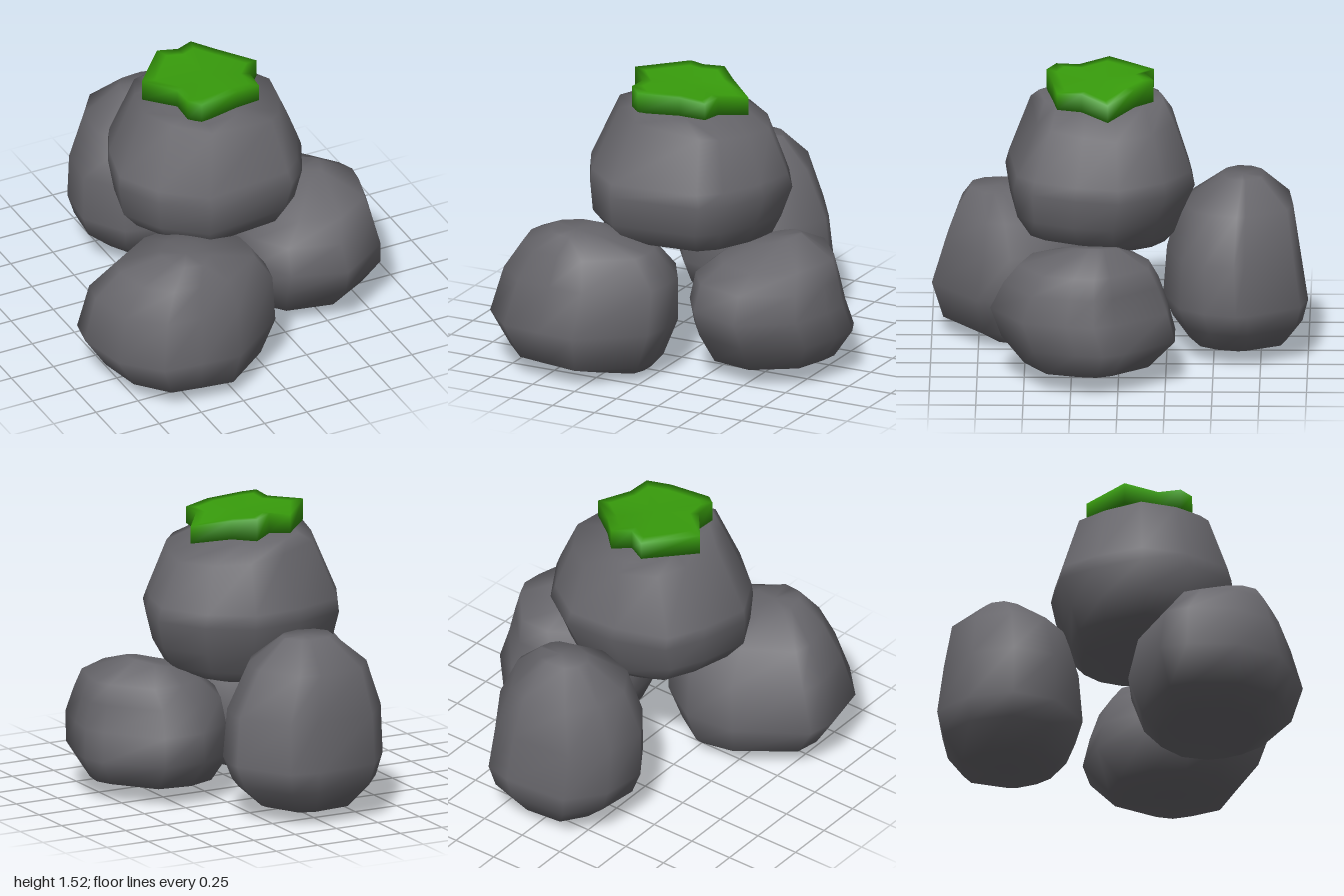
import * as THREE from 'three';

// Skins a stack of closed rings (bottom to top) and caps both ends.
function skin(rings) {
  const n = rings[0].length;
  const points = rings.flat();
  const index = [];
  for (let i = 0; i < rings.length - 1; i++) {
    for (let j = 0; j < n; j++) {
      const a = i * n + j, b = i * n + (j + 1) % n;
      index.push(a, a + n, b, b, a + n, b + n);
    }
  }
  const cap = (ring, start, up) => {
    const centre = new THREE.Vector3();
    ring.forEach((p) => centre.addScaledVector(p, 1 / n));
    const c = points.push(centre) - 1;
    for (let j = 0; j < n; j++) {
      const a = start + j, b = start + (j + 1) % n;
      index.push(c, up ? b : a, up ? a : b);
    }
  };
  cap(rings[0], 0, false);
  cap(rings[rings.length - 1], (rings.length - 1) * n, true);
  const geometry = new THREE.BufferGeometry().setFromPoints(points);
  geometry.setIndex(index);
  geometry.computeVertexNormals();
  return geometry;
}

// Fits a plan outline [x, z] into each level [y, x0, x1, z0, z1, tiltX, tiltZ].
function rock(outline, levels) {
  const box = new THREE.Box2().setFromPoints(outline.map(([x, z]) => new THREE.Vector2(x, z)));
  const { mapLinear } = THREE.MathUtils;
  return skin(levels.map(([y, x0, x1, z0, z1, tiltX = 0, tiltZ = 0]) => outline.map(([px, pz]) => {
    const x = mapLinear(px, box.min.x, box.max.x, x0, x1);
    const z = mapLinear(pz, box.min.y, box.max.y, z0, z1);
    return new THREE.Vector3(x, y + tiltX * (x - (x0 + x1) / 2) + tiltZ * (z - (z0 + z1) / 2), z);
  })));
}

const rocks = {
  frontRock: {
    outline: [[-0.93, 0.49], [-0.9, 0.34], [-0.55, 0.11], [-0.27, 0.08], [-0.03, 0.23], [0.09, 0.45],
      [0.1, 0.6], [0.07, 0.76], [-0.26, 1], [-0.48, 0.98], [-0.69, 0.955], [-0.87, 0.77]],
    levels: [[0.035, -0.6, -0.07, 0.24, 0.78, -0.1, 0.06], [0.1, -0.82, 0.01, 0.15, 0.94, -0.03],
      [0.29, -0.935, 0.09, 0.08, 1], [0.53, -0.87, 0.09, 0.13, 0.93],
      [0.69, -0.75, -0.02, 0.27, 0.87], [0.785, -0.55, -0.3, 0.5, 0.8, -0.06]],
  },
  sideRock: {
    outline: [[0.41, -0.3], [0.65, -0.3], [0.88, -0.02], [0.93, 0.1], [0.91, 0.25], [0.84, 0.49],
      [0.55, 0.67], [0.25, 0.57], [0.12, 0.37], [0.1, 0.1], [0.2, -0.18]],
    levels: [[0.095, 0.17, 0.84, -0.16, 0.5, 0.04], [0.25, 0.1, 0.93, -0.3, 0.62],
      [0.4, 0.1, 0.9, -0.26, 0.68], [0.54, 0.12, 0.87, -0.21, 0.61],
      [0.65, 0.25, 0.835, -0.16, 0.53], [0.725, 0.36, 0.64, 0, 0.26, 0.25]],
  },
  backRock: {
    outline: [[-0.43, -0.53], [-0.4, -0.78], [-0.25, -0.97], [0.1, -1], [0.25, -0.96], [0.42, -0.68],
      [0.43, -0.62], [0.38, -0.45], [0.28, -0.32], [0, -0.23], [-0.29, -0.32]],
    levels: [[0.075, -0.25, 0.25, -0.88, -0.37], [0.2, -0.39, 0.39, -0.97, -0.28],
      [0.32, -0.43, 0.435, -1, -0.23], [0.58, -0.43, 0.41, -0.96, -0.25],
      [0.83, -0.34, 0.29, -0.92, -0.32], [0.985, -0.15, 0.13, -0.76, -0.54]],
  },
  topRock: {
    outline: [[0.53, 0], [0.48, 0.23], [0.37, 0.46], [0.26, 0.56], [-0.24, 0.61], [-0.46, 0.42],
      [-0.58, 0.19], [-0.51, -0.08], [-0.41, -0.28], [-0.12, -0.38], [0.16, -0.4], [0.38, -0.25]],
    levels: [[0.64, -0.25, 0.28, -0.24, 0.22], [0.7, -0.47, 0.42, -0.29, 0.51],
      [0.81, -0.56, 0.48, -0.33, 0.585], [0.97, -0.58, 0.53, -0.4, 0.61],
      [1.04, -0.575, 0.505, -0.38, 0.59], [1.33, -0.42, 0.4, -0.29, 0.475, -0.12, 0.03],
      [1.39, -0.3, 0.12, -0.23, 0.43, -0.04]],
  },
};

// Ragged moss rim: [x, z, bottom, top]
const mossRim = [[-0.38, 0.06, 1.4, 1.515], [-0.17, -0.18, 1.41, 1.51], [-0.07, -0.13, 1.41, 1.52],
  [0.03, -0.18, 1.39, 1.51], [0.13, -0.08, 1.39, 1.49], [0.3, 0.06, 1.355, 1.45],
  [0.19, 0.2, 1.38, 1.48], [0.18, 0.33, 1.39, 1.48], [0.04, 0.355, 1.4, 1.5],
  [-0.19, 0.39, 1.39, 1.5], [-0.25, 0.34, 1.4, 1.515], [-0.25, 0.22, 1.41, 1.51]];

export function createModel() {
  const model = new THREE.Group();
  model.name = 'mossyRockPile';
  const stone = new THREE.MeshStandardMaterial({ color: 0x68676c });
  stone.name = 'greyStone';
  const moss = new THREE.MeshStandardMaterial({ color: 0x389c0c });
  moss.name = 'greenMoss';

  const add = (name, geometry, material) => {
    const mesh = new THREE.Mesh(geometry, material);
    mesh.name = name;
    model.add(mesh);
  };

  // Three boulders carrying a fourth
  for (const [name, { outline, levels }] of Object.entries(rocks)) add(name, rock(outline, levels), stone);

  // Soft moss cap, nearly flat inside its rim
  const ring = (k) => mossRim.map((p) => new THREE.Vector3(p[0], p[k], p[1]));
  const inner = ring(3).map((p) => p.lerp(new THREE.Vector3(-0.03, 1.485, 0.12), 0.2));
  add('mossCap', skin([ring(2), ring(3), inner]), moss);

  return model;
}
